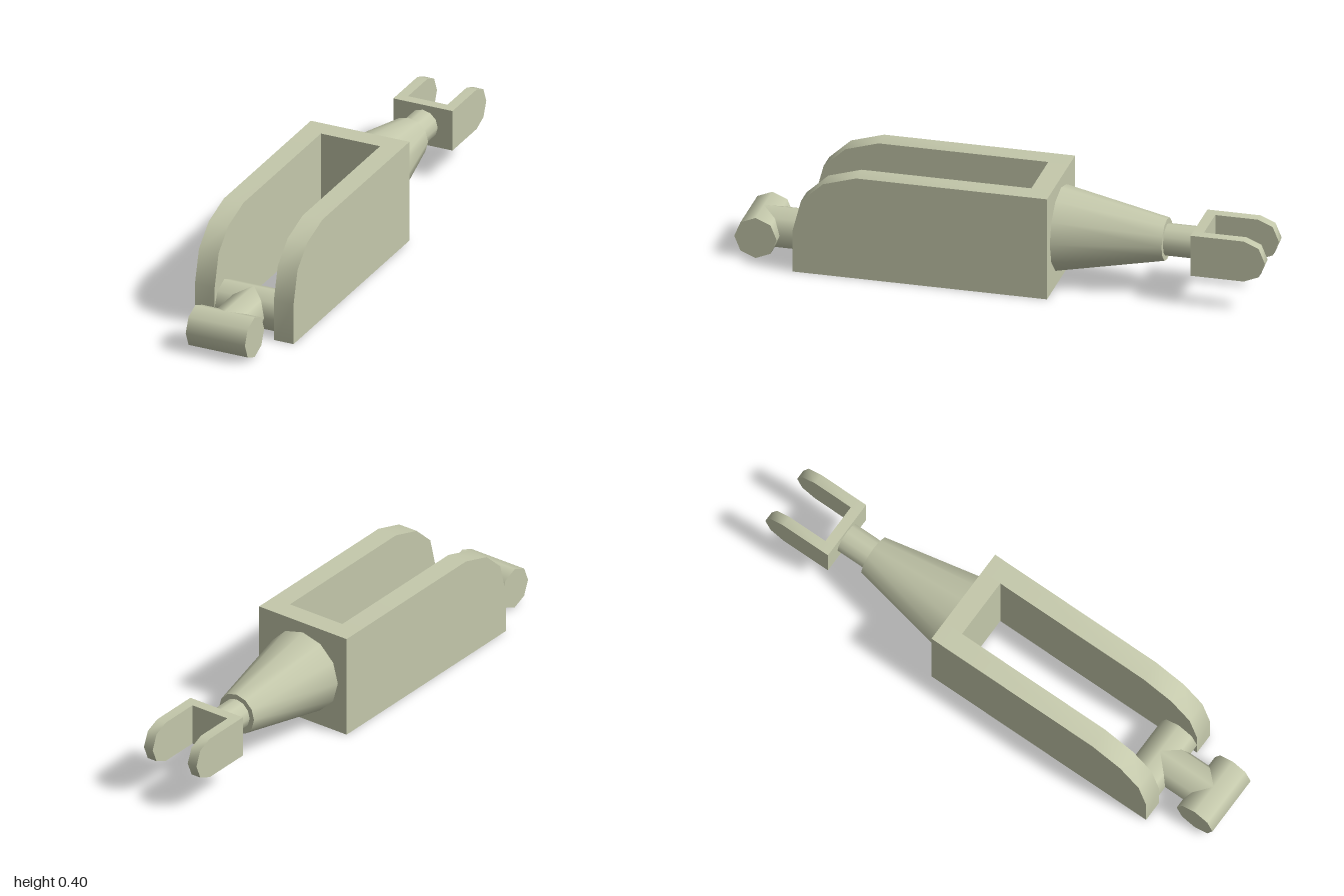
import * as THREE from 'three';
import { toCreasedNormals } from 'three/addons/utils/BufferGeometryUtils.js';

export function createModel() {
  const group = new THREE.Group();
  const material = new THREE.MeshStandardMaterial({ color: 0xc4c8ab });

  const add = (name, geometry, x, y, z) => {
    const mesh = new THREE.Mesh(geometry, material);
    mesh.name = name;
    mesh.position.set(x, y, z);
    group.add(mesh);
  };

  // Plate with a [z, y] outline, extruded across x and centred on x = 0
  const plate = (points, width) => {
    const shape = new THREE.Shape(points.map(([z, y]) => new THREE.Vector2(z, y)));
    const geometry = new THREE.ExtrudeGeometry(shape, { depth: width, bevelEnabled: false });
    geometry.translate(0, 0, -width / 2).rotateY(-Math.PI / 2);
    return toCreasedNormals(geometry, 0.87);
  };

  // Round bars along x or z
  const barX = (r, length) => new THREE.CylinderGeometry(r, r, length, 8).rotateZ(Math.PI / 2);
  const barZ = (rFront, rBack, length, sides) =>
    new THREE.CylinderGeometry(rFront, rBack, length, sides).rotateX(Math.PI / 2);

  // Open housing: two side plates with a rounded front corner, and a back wall
  const sideOutline = [[-0.2, 0], [0.76, 0], [0.76, 0.16], [0.727, 0.286], [0.645, 0.362], [0.52, 0.4], [-0.2, 0.4]];
  // Rear fork prongs with a half-octagon end
  const c = 0.08 * Math.SQRT1_2;
  const prongOutline = [
    [-0.72, 0.12], [-0.72, 0.28], [-0.92, 0.28], [-0.92 - c, 0.2 + c],
    [-1, 0.2], [-0.92 - c, 0.2 - c], [-0.92, 0.12],
  ];
  for (const [side, s] of [['left', 1], ['right', -1]]) {
    add(side + 'HousingPlate', plate(sideOutline, 0.08), s * 0.16, 0, 0);
    add(side + 'ForkProng', plate(prongOutline, 0.04), s * 0.1, 0, 0);
  }
  add('housingBackWall', new THREE.BoxGeometry(0.24, 0.4, 0.08), 0, 0.2, -0.16);
  add('forkBridge', new THREE.BoxGeometry(0.16, 0.16, 0.04), 0, 0.2, -0.74);

  // Tapered tail and neck behind the housing
  add('taperedTail', barZ(0.16, 0.08, 0.4, 12), 0, 0.2, -0.4);
  add('neck', barZ(0.06, 0.06, 0.12, 12), 0, 0.2, -0.66);

  // Front link: two cross bars joined by a short shaft
  add('hingeBar', barX(0.08, 0.24), 0, 0.08, 0.68);
  add('linkShaft', barZ(0.08, 0.08, 0.24, 8), 0, 0.08, 0.8);
  add('frontBar', barX(0.08, 0.24), 0, 0.08, 0.92);

  return group;
}
